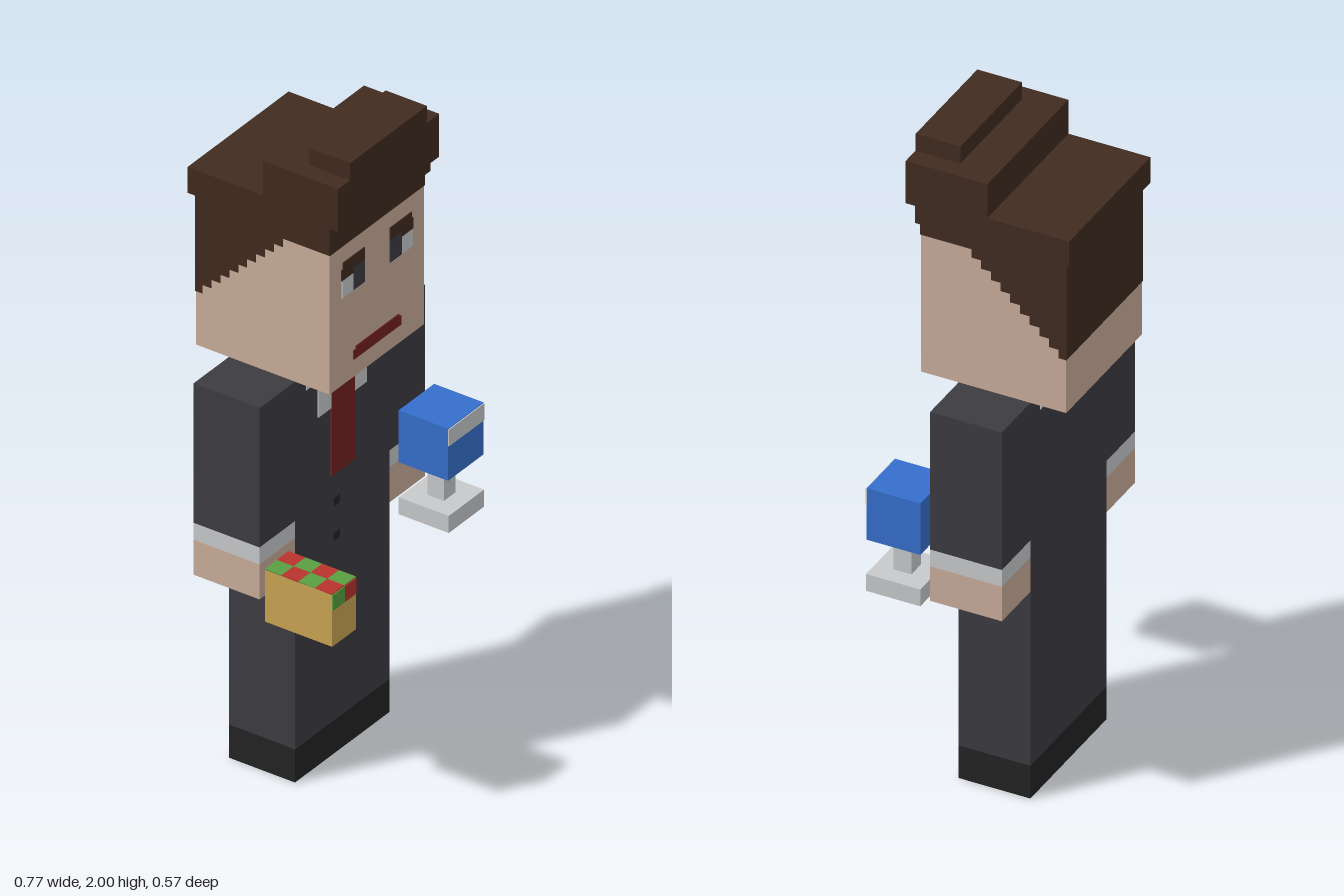
import * as THREE from 'three';

const mat = (name, color) => {
  const m = new THREE.MeshStandardMaterial({ color });
  m.name = name;
  return m;
};

export function createModel() {
  const skin = mat('skin', 0xc9ad9a);
  const hair = mat('hair brown', 0x402b20);
  const suit = mat('suit charcoal', 0x3c3b41);
  const white = mat('shirt white', 0xc8c9cb);
  const tieRed = mat('tie red', 0x742020);
  const shoe = mat('shoe black', 0x232323);
  const blue = mat('cup blue', 0x356ecb);
  const gold = mat('box gold', 0xc9a552);
  const green = mat('tile green', 0x5a9e40);
  const red = mat('tile red', 0xb8342c);

  const model = new THREE.Group();
  model.name = 'figure';
  const group = (name) => {
    const g = new THREE.Group();
    g.name = name;
    model.add(g);
    return g;
  };
  // Box given by its limits on each axis
  const box = (parent, name, material, x0, x1, y0, y1, z0, z1) => {
    const mesh = new THREE.Mesh(new THREE.BoxGeometry(x1 - x0, y1 - y0, z1 - z0), material);
    mesh.position.set((x0 + x1) / 2, (y0 + y1) / 2, (z0 + z1) / 2);
    mesh.name = name;
    parent.add(mesh);
    return mesh;
  };

  // Body: one block for torso and legs, shoes below
  const zb = -0.158, zf = 0.06;
  const body = group('body');
  box(body, 'suit', suit, -0.22, 0.22, 0.105, 1.272, zb, zf);
  box(body, 'shoes', shoe, -0.22, 0.22, 0, 0.105, zb, zf);

  // Collar, tie and buttons as thin plates
  const plate = (name, m, x0, x1, y0, y1, t = 0.003) =>
    box(body, name, m, x0, x1, y0, y1, zf - 0.001, zf + t);
  plate('collarTop', white, -0.17, 0.17, 1.22, 1.272);
  plate('shirtFront', white, -0.115, 0.11, 1.105, 1.22);
  plate('tie', tieRed, -0.055, 0.052, 0.89, 1.272, 0.005);
  for (const y of [0.8, 0.69]) plate('button', shoe, -0.042, -0.016, y - 0.013, y + 0.013);
  box(body, 'collarBack', white, -0.165, 0.165, 1.22, 1.272, zb - 0.003, zb + 0.001);

  // Arms: sleeve, cuff, hand
  for (const [side, x0, x1] of [['left', 0.22, 0.385], ['right', -0.385, -0.22]]) {
    const arm = group(side + 'Arm');
    box(arm, 'sleeve', suit, x0, x1, 0.83, 1.272, zb, zf);
    box(arm, 'cuff', white, x0, x1, 0.776, 0.83, zb, zf);
    box(arm, 'hand', skin, x0, x1, 0.665, 0.776, zb, zf);
  }

  // Head and face
  const head = group('head');
  const face = 0.174, nape = -0.267;
  box(head, 'face', skin, -0.22, 0.22, 1.272, 1.752, nape, face);
  const feature = (name, m, x0, x1, y0, y1, t = 0.003) =>
    box(head, name, m, x0, x1, y0, y1, face - 0.001, face + t);
  for (const s of [-1, 1]) {
    const eye = (name, m, a, b, y0, y1) =>
      feature(name, m, Math.min(s * a, s * b), Math.max(s * a, s * b), y0, y1);
    eye('eyebrow', hair, 0.06, 0.16, 1.622, 1.66);
    eye('eyebrowEnd', hair, 0.113, 0.167, 1.605, 1.64);
    eye('pupil', suit, 0.06, 0.113, 1.55, 1.622);
    eye('eyeWhite', white, 0.113, 0.165, 1.55, 1.605);
  }
  feature('mouth', tieRed, -0.11, 0.11, 1.328, 1.357);
  feature('upperLip', tieRed, -0.1, 0.1, 1.357, 1.366);

  // Hair shell: stepped side outline extruded across the head
  const outline = new THREE.Shape();
  outline.moveTo(face + 0.002, 1.757);
  outline.lineTo(face + 0.002, 1.713);
  const steps = 10, zs = 0.02, ze = -0.245;
  for (let i = 0; i < steps; i++) {
    const z = zs + (ze - zs) * i / (steps - 1);
    outline.lineTo(z, 1.713 - 0.27 * i / steps);
    outline.lineTo(z, 1.713 - 0.27 * (i + 1) / steps);
  }
  outline.lineTo(nape - 0.002, 1.443);
  outline.lineTo(nape - 0.002, 1.757);
  const shell = new THREE.ExtrudeGeometry(outline, { depth: 0.444, bevelEnabled: false });
  shell.translate(0, 0, -0.222).rotateY(-Math.PI / 2);
  const shellMesh = new THREE.Mesh(shell, hair);
  shellMesh.name = 'hairShell';
  head.add(shellMesh);

  // Stacked hair blocks
  box(head, 'hairCap', hair, -0.235, 0.235, 1.755, 1.837, -0.284, 0.185);
  box(head, 'hairQuiff', hair, -0.235, 0.235, 1.81, 1.946, -0.035, 0.213);
  box(head, 'hairTop', hair, -0.18, 0.178, 1.946, 2, 0.077, 0.213);

  // Cup trophy held at the left hand
  const trophy = group('trophy');
  box(trophy, 'trophyBlock', blue, 0.22, 0.385, 0.803, 0.968, 0.09, 0.253);
  box(trophy, 'trophyBand', white, 0.22, 0.385, 0.913, 0.966, 0.252, 0.256);
  box(trophy, 'trophyStem', white, 0.275, 0.33, 0.69, 0.803, 0.146, 0.2);
  box(trophy, 'trophyBase', white, 0.22, 0.385, 0.638, 0.692, 0.09, 0.255);

  // Box with a chequered lid at the right hand
  const crate = group('chequeredBox');
  box(crate, 'boxBody', gold, -0.36, -0.25, 0.582, 0.747, 0.06, 0.282);
  for (let col = 0; col < 2; col++) {
    const x0 = -0.36 + col * 0.055;
    for (let row = 0; row < 4; row++) {
      const z0 = 0.06 + row * 0.0555;
      box(crate, 'lidTile', (row + col) % 2 ? red : green, x0, x0 + 0.055, 0.746, 0.75, z0, z0 + 0.0555);
    }
    box(crate, 'frontTile', col ? red : green, x0, x0 + 0.055, 0.697, 0.747, 0.281, 0.285);
  }

  return model;
}
